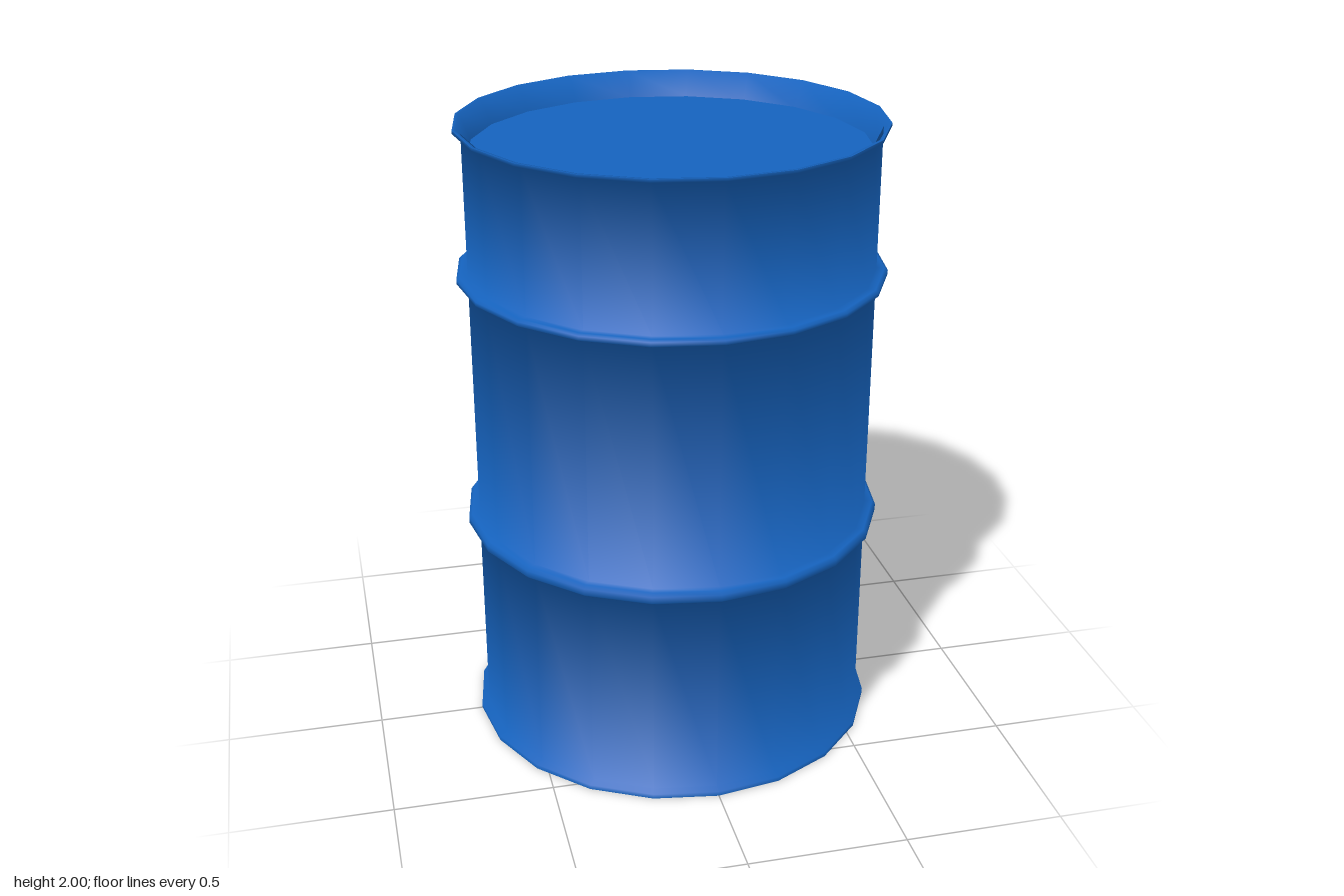
import * as THREE from 'three';

const SIDES = 20;
const WALL = 0.635;

// Lathe whose normals average the adjoining profile segments equally,
// so the long walls blend softly into the thin hoops.
function softLathe(profile) {
  const points = profile.map(([r, y]) => new THREE.Vector2(r, y));
  const geometry = new THREE.LatheGeometry(points, SIDES);
  const segments = points.slice(1).map((p, i) => {
    const d = p.clone().sub(points[i]).normalize();
    return new THREE.Vector2(d.y, -d.x);
  });
  const normals = geometry.attributes.normal;
  points.forEach((p, j) => {
    const n = new THREE.Vector2();
    if (j > 0) n.add(segments[j - 1]);
    if (j < segments.length) n.add(segments[j]);
    n.normalize();
    for (let i = 0; i <= SIDES; i++) {
      const a = (i / SIDES) * Math.PI * 2;
      normals.setXYZ(i * points.length + j, n.x * Math.sin(a), n.y, n.x * Math.cos(a));
    }
  });
  return geometry;
}

// Rolled hoop standing out from the wall between two heights
function hoop(bottom, top) {
  const bevel = (top - bottom) * 0.25;
  return [
    [WALL, bottom], [0.66, bottom], [0.67, bottom + bevel],
    [0.67, top - bevel], [0.66, top], [WALL, top],
  ];
}

export function createModel() {
  const group = new THREE.Group();
  const material = new THREE.MeshStandardMaterial({ color: 0x1562bd });
  const add = (name, geometry) => {
    const mesh = new THREE.Mesh(geometry, material);
    mesh.name = name;
    group.add(mesh);
    return mesh;
  };

  // Wall with bottom flange, two hoops and top flange
  add('barrelWall', softLathe([
    [0.66, 0], [0.66, 0.015], [WALL, 0.02],
    ...hoop(0.7, 0.74),
    ...hoop(1.52, 1.545),
    [WALL, 1.988], [0.66, 1.99], [0.66, 2],
  ]));

  // Rim sloping inward to the sunken lid
  add('innerRim', softLathe([[0.66, 2], [0.65, 2], [0.615, 1.92]]));

  const lid = add('lid', new THREE.CircleGeometry(0.615, SIDES));
  lid.rotation.x = -Math.PI / 2;
  lid.position.y = 1.92;

  const base = add('base', new THREE.CircleGeometry(0.66, SIDES));
  base.rotation.x = Math.PI / 2;

  return group;
}
